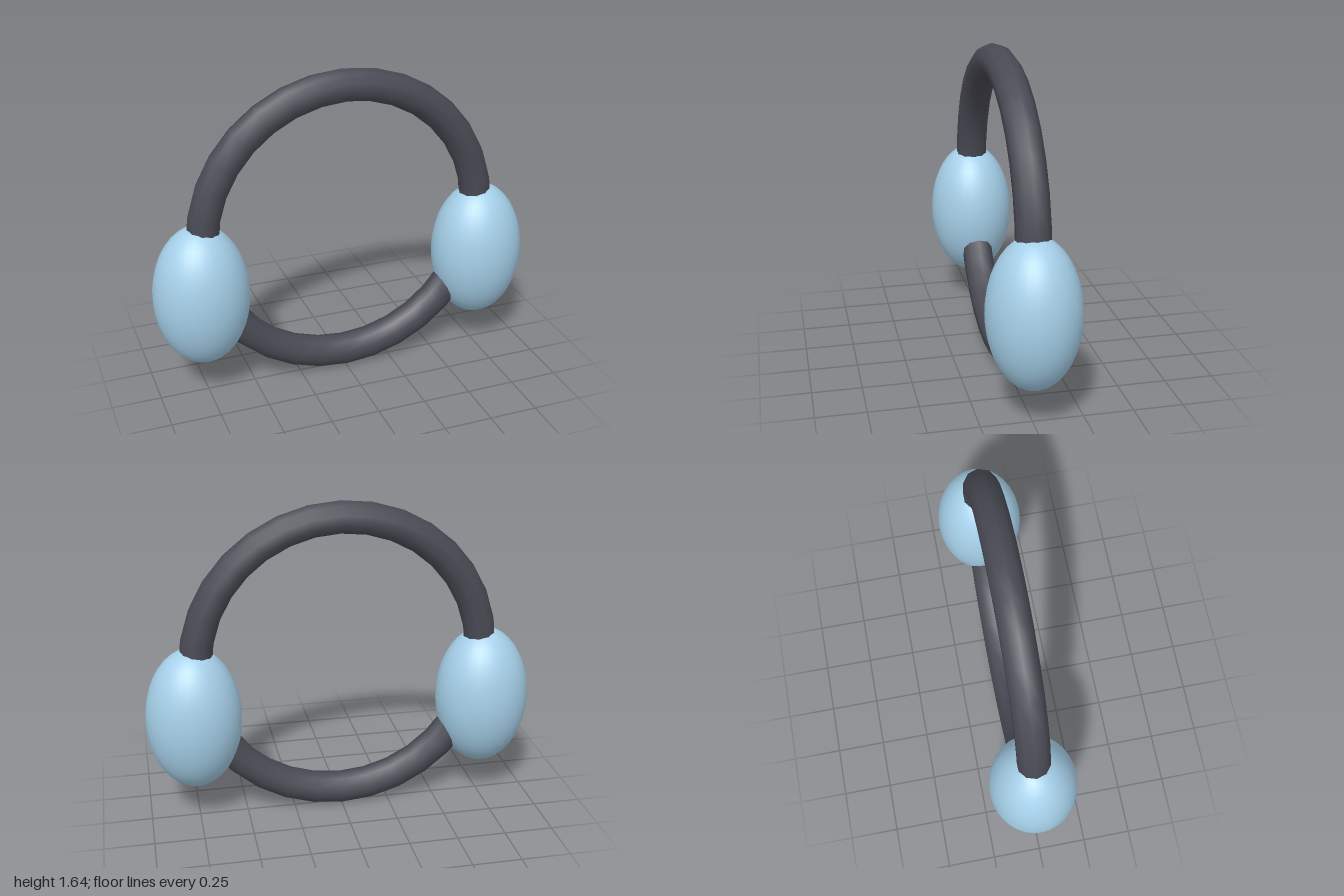
import * as THREE from 'three';

export function createModel() {
  const group = new THREE.Group();
  const bandMaterial = new THREE.MeshStandardMaterial({ color: 0x4a4a55 });
  const cupMaterial = new THREE.MeshStandardMaterial({ color: 0xa5cfe8 });

  // Full ring that passes through both ear cups
  const band = new THREE.Mesh(new THREE.TorusGeometry(0.738, 0.083, 10, 32), bandMaterial);
  band.name = 'band';
  band.position.y = 0.821;
  group.add(band);

  // Egg-shaped ear cups, mirrored left and right
  const cupGeometry = new THREE.SphereGeometry(1, 32, 20);
  for (const side of [1, -1]) {
    const cup = new THREE.Mesh(cupGeometry, cupMaterial);
    cup.name = side > 0 ? 'leftEarCup' : 'rightEarCup';
    cup.scale.set(0.243, 0.373, 0.225);
    cup.position.set(side * 0.757, 0.558, 0);
    group.add(cup);
  }
  return group;
}
